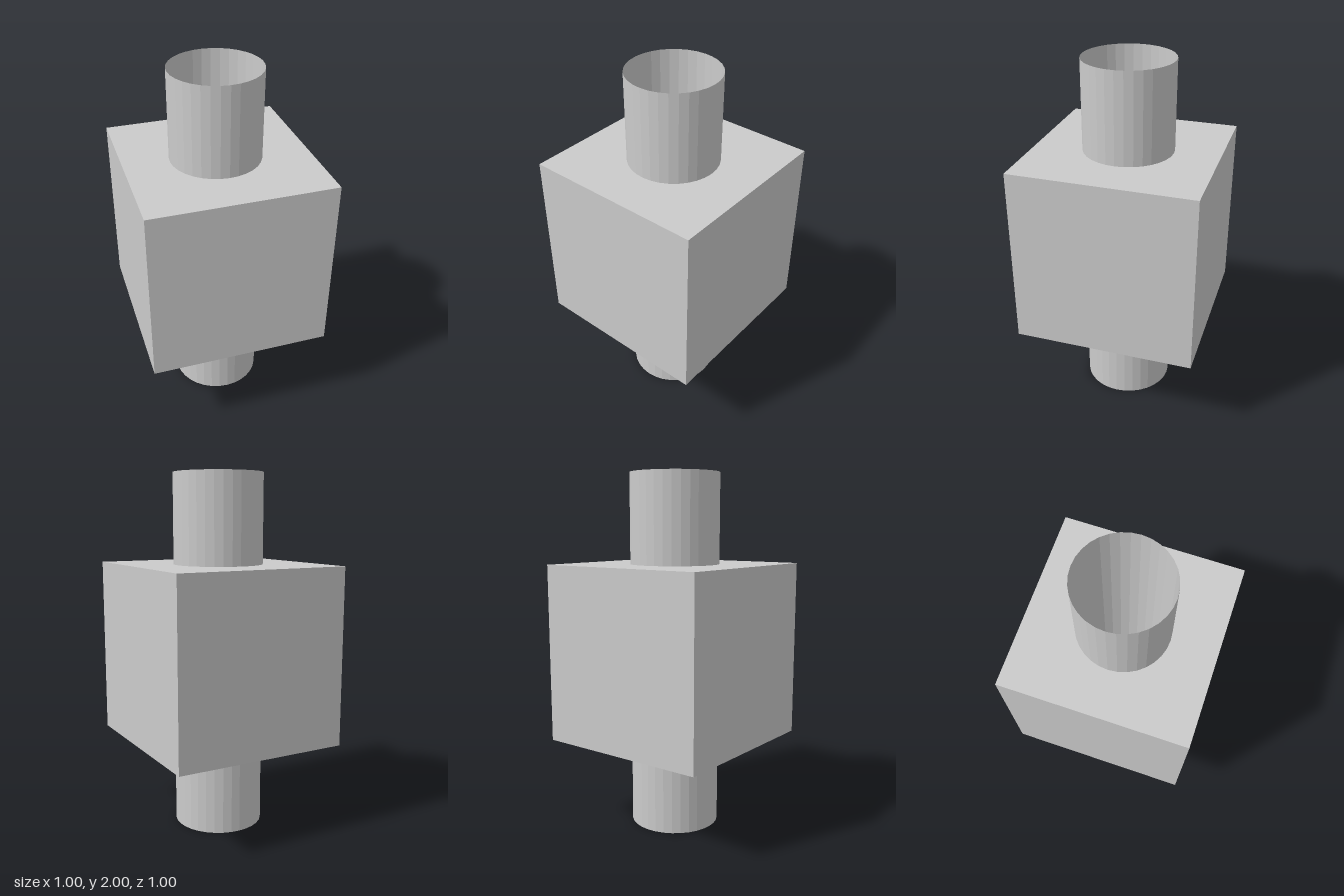
import * as THREE from 'three';

const SIDES = 32;
const RADIUS = 0.25;

export function createModel() {
  const group = new THREE.Group();
  const material = new THREE.MeshStandardMaterial({ color: 0xcccccc, flatShading: true, side: THREE.DoubleSide });

  // Cube with a faceted round bore running vertically through it
  const square = new THREE.Shape([
    new THREE.Vector2(-0.5, -0.5), new THREE.Vector2(0.5, -0.5),
    new THREE.Vector2(0.5, 0.5), new THREE.Vector2(-0.5, 0.5),
  ]);
  const rim = Array.from({ length: SIDES }, (_, i) => {
    const a = (-i / SIDES) * Math.PI * 2;
    return new THREE.Vector2(Math.cos(a) * RADIUS, Math.sin(a) * RADIUS);
  });
  square.holes.push(new THREE.Path(rim));
  const blockGeometry = new THREE.ExtrudeGeometry(square, { depth: 1, bevelEnabled: false });
  blockGeometry.rotateX(-Math.PI / 2).translate(0, 0.5, 0);
  const block = new THREE.Mesh(blockGeometry, material);
  block.name = 'block';
  group.add(block);

  // Open thin-walled pipes continuing the bore below and above
  const pipeGeometry = new THREE.CylinderGeometry(RADIUS, RADIUS, 0.5, SIDES, 1, true);
  for (const [name, y] of [['lowerPipe', 0.25], ['upperPipe', 1.75]]) {
    const pipe = new THREE.Mesh(pipeGeometry, material);
    pipe.name = name;
    pipe.position.y = y;
    group.add(pipe);
  }
  return group;
}
